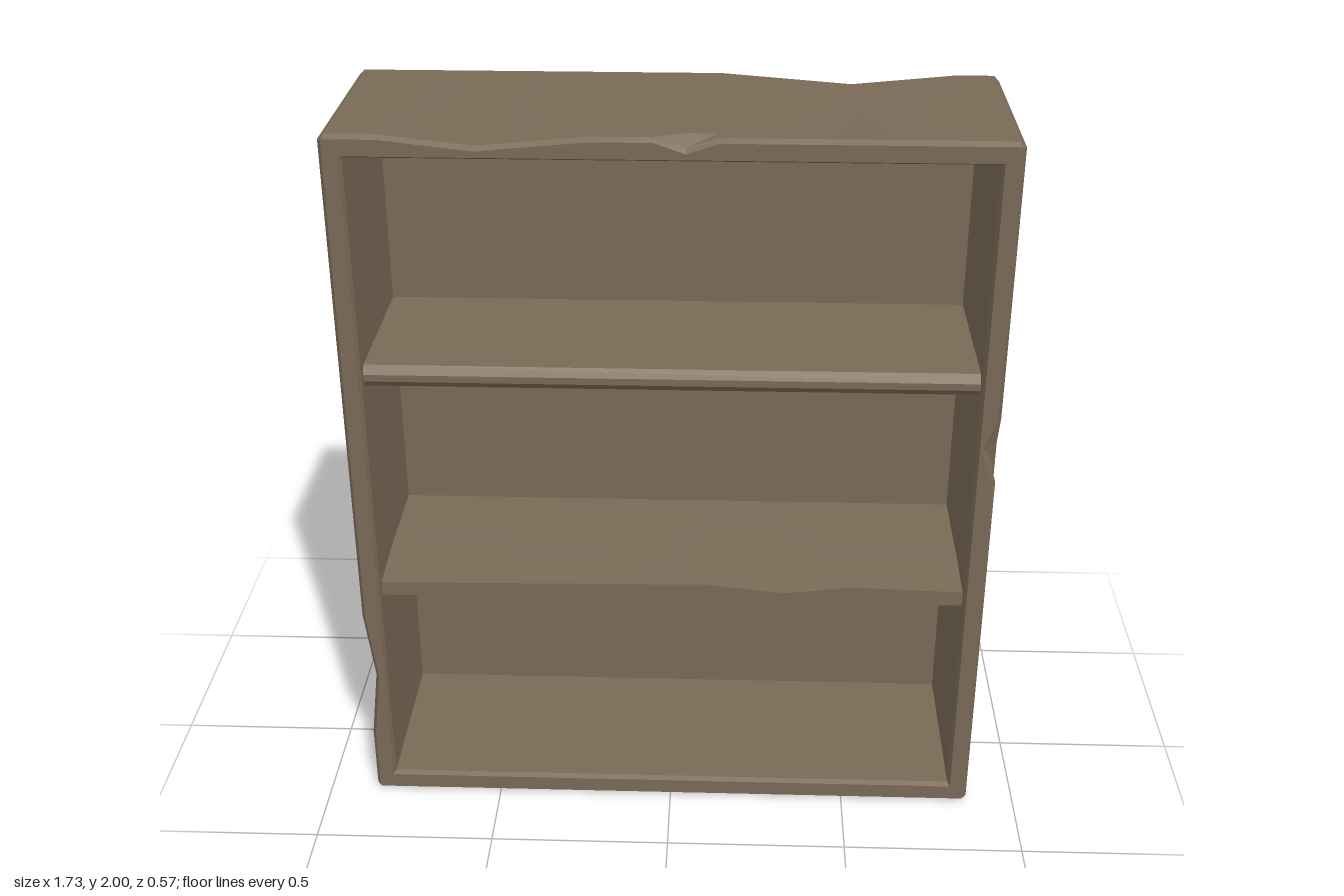
import * as THREE from 'three';
import { toCreasedNormals } from 'three/addons/utils/BufferGeometryUtils.js';

const W = 0.865, H = 2, D = 0.285, BEVEL = 0.014;
const IN_X = 0.808, IN_LOW = 0.06, IN_HIGH = 1.94, IN_BACK = -0.218;

const wood = new THREE.MeshStandardMaterial({ color: 0x7a6a57 });
wood.name = 'weathered wood';

// Joins rings of [x, y, z] points; optional flat ends close the first and last ring
function loft(name, rings, capped) {
  const pos = [];
  const tri = (a, b, c) => pos.push(...a, ...b, ...c);
  const n = rings[0].length;
  for (let r = 0; r + 1 < rings.length; r++) {
    for (let k = 0; k < n; k++) {
      const m = (k + 1) % n, a = rings[r], b = rings[r + 1];
      tri(a[k], a[m], b[m]);
      tri(a[k], b[m], b[k]);
    }
  }
  if (capped) {
    const first = rings[0], last = rings[rings.length - 1];
    for (let k = 0; k < n; k++) {
      const m = (k + 1) % n;
      tri([0, 1, first[0][2]], first[m], first[k]);
      tri([0, 1, last[0][2]], last[k], last[m]);
    }
  }
  const geo = new THREE.BufferGeometry();
  geo.setAttribute('position', new THREE.Float32BufferAttribute(pos, 3));
  const mesh = new THREE.Mesh(toCreasedNormals(geo, 0.4), wood);
  mesh.name = name;
  return mesh;
}

// Triangular bump from start to end, deepest at peak
function dent(v, start, peak, end, depth) {
  if (v <= start || v >= end) return 0;
  return depth * (v < peak ? (v - start) / (peak - start) : (end - v) / (end - peak));
}

// Outline stations, counter-clockwise from the lower left, as [side, position]
const xs = [-W + BEVEL, -0.72, -0.48, -0.2, -0.04, 0.04, 0.12, 0.24, 0.47, 0.75, W - BEVEL];
const ys = [BEVEL, 0.2, 0.4, 0.6, 1.06, 1.16, 1.25, 1.6, H - BEVEL];
const stations = [
  ...xs.map(x => ['bottom', x]),
  ...ys.map(y => ['right', y]),
  ...xs.slice().reverse().map(x => ['top', x]),
  ...ys.slice().reverse().map(y => ['left', y]),
];

// Outer ring: f runs from 0 at the back to 1 at the front, chips only touch the front edge
function outerRing(z, f, chips, inset) {
  return stations.map(([side, v]) => {
    const keep = (a, lo, hi) => Math.min(hi - inset, Math.max(lo + inset, a));
    if (side === 'bottom') return [keep(v, -W, W), inset, z];
    if (side === 'right') {
      return [W - inset - chips * dent(v, 1.06, 1.16, 1.25, 0.033), keep(v, 0, H), z];
    }
    if (side === 'left') {
      return [-W + inset + f * dent(v, 0.2, 0.4, 0.6, 0.024), keep(v, 0, H), z];
    }
    const wear = f * dent(v, -0.72, -0.48, -0.2, 0.027)
      + (1 - f) * dent(v, 0.12, 0.47, 0.75, 0.027)
      + chips * dent(v, -0.04, 0.04, 0.12, 0.028);
    return [keep(v, -W, W), H - inset - wear, z];
  });
}

function innerRing(z, grow) {
  const { clamp } = THREE.MathUtils;
  return stations.map(([side, v]) => {
    const across = side === 'bottom' || side === 'top';
    const x = across ? v : side === 'right' ? W : -W;
    const y = across ? (side === 'top' ? H : 0) : v;
    return [clamp(x, -IN_X - grow, IN_X + grow), clamp(y, IN_LOW - grow, IN_HIGH + grow), z];
  });
}

// Shelf from a cross-section; edge(x) lowers its front lip
function shelf(name, profile, stops, edge) {
  return loft(name, stops.map(x => profile.map(([z, y, lip]) => [x, y - lip * edge(x), z])), false);
}

export function createModel() {
  const group = new THREE.Group();
  group.name = 'bookcase';

  // Hollow case with worn outer edges and a solid back
  group.add(loft('case', [
    outerRing(-D, 0, 0, 0),
    outerRing(0, 0.45, 0, 0),
    outerRing(0.235, 0.9, 0, 0),
    outerRing(D - BEVEL, 1, 0.85, 0),
    outerRing(D, 1, 1, 0.01),
    innerRing(D, 0.007),
    innerRing(D - BEVEL, 0),
    innerRing(IN_BACK, 0),
  ], true));

  // Upper shelf with bevelled front edges
  const end = IN_X + 0.004, back = IN_BACK - 0.004;
  group.add(shelf('upperShelf', [
    [back, 1.36, 0], [0.235, 1.36, 0], [0.25, 1.337, 0],
    [0.25, 1.318, 0], [0.23, 1.297, 0], [back, 1.297, 0],
  ], [-end, end], () => 0));

  // Lower shelf with a worn, uneven lip
  const worn = x => 0.004 + dent(x, -1.6, -0.81, 0.1, 0.012)
    + dent(x, 0.1, 0.32, 0.5, 0.023) + dent(x, 0.5, 0.81, 1.1, 0.01);
  group.add(shelf('lowerShelf', [
    [back, 0.712, 0], [0.1, 0.712, 0.15], [0.25, 0.712, 1],
    [0.25, 0.655, 0], [back, 0.655, 0],
  ], [-end, -0.05, 0.1, 0.32, 0.5, end], worn));

  return group;
}
